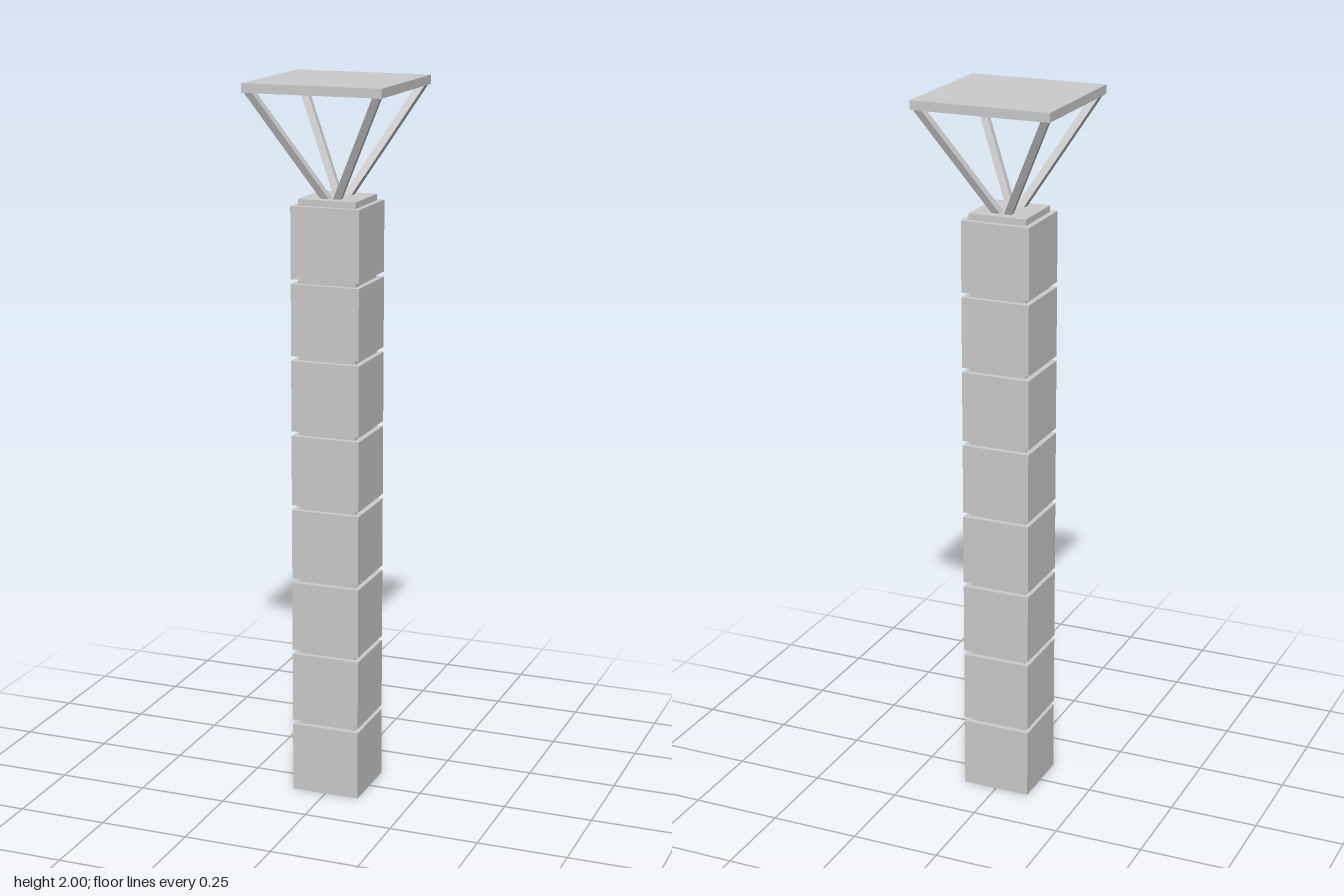
import * as THREE from 'three';

const material = new THREE.MeshStandardMaterial({ color: 0xcccccc, flatShading: true });

export function createModel() {
  const model = new THREE.Group();
  model.name = 'tower';

  // Axis-aligned box standing between two heights
  const slab = (name, width, bottom, top) => {
    const mesh = new THREE.Mesh(new THREE.BoxGeometry(width, top - bottom, width), material);
    mesh.position.y = (bottom + top) / 2;
    mesh.name = name;
    model.add(mesh);
  };

  // Shaft: stacked cubes with a narrower collar above each
  const pitch = 0.2105, blockHeight = 0.197;
  for (let i = 0; i < 8; i++) {
    const base = i * pitch;
    slab('block' + (i + 1), 0.195, base, base + blockHeight);
    slab('collar' + (i + 1), 0.164, base + blockHeight, i < 7 ? base + pitch : 1.688);
  }

  // Four splayed struts carrying the roof
  const up = new THREE.Vector3(0, 1, 0);
  for (const sx of [-1, 1]) {
    for (const sz of [-1, 1]) {
      const foot = new THREE.Vector3(sx * 0.013, 1.682, sz * 0.039);
      const head = new THREE.Vector3(sx * 0.18, 1.982, sz * 0.18);
      const axis = head.clone().sub(foot);
      const strut = new THREE.Mesh(new THREE.BoxGeometry(0.02, axis.length(), 0.02), material);
      strut.position.copy(foot).add(head).multiplyScalar(0.5);
      strut.quaternion.setFromUnitVectors(up, axis.normalize());
      strut.name = (sz > 0 ? 'front' : 'back') + (sx > 0 ? 'Left' : 'Right') + 'Strut';
      model.add(strut);
    }
  }

  // Flat square roof
  slab('roof', 0.388, 1.975, 2);
  return model;
}
